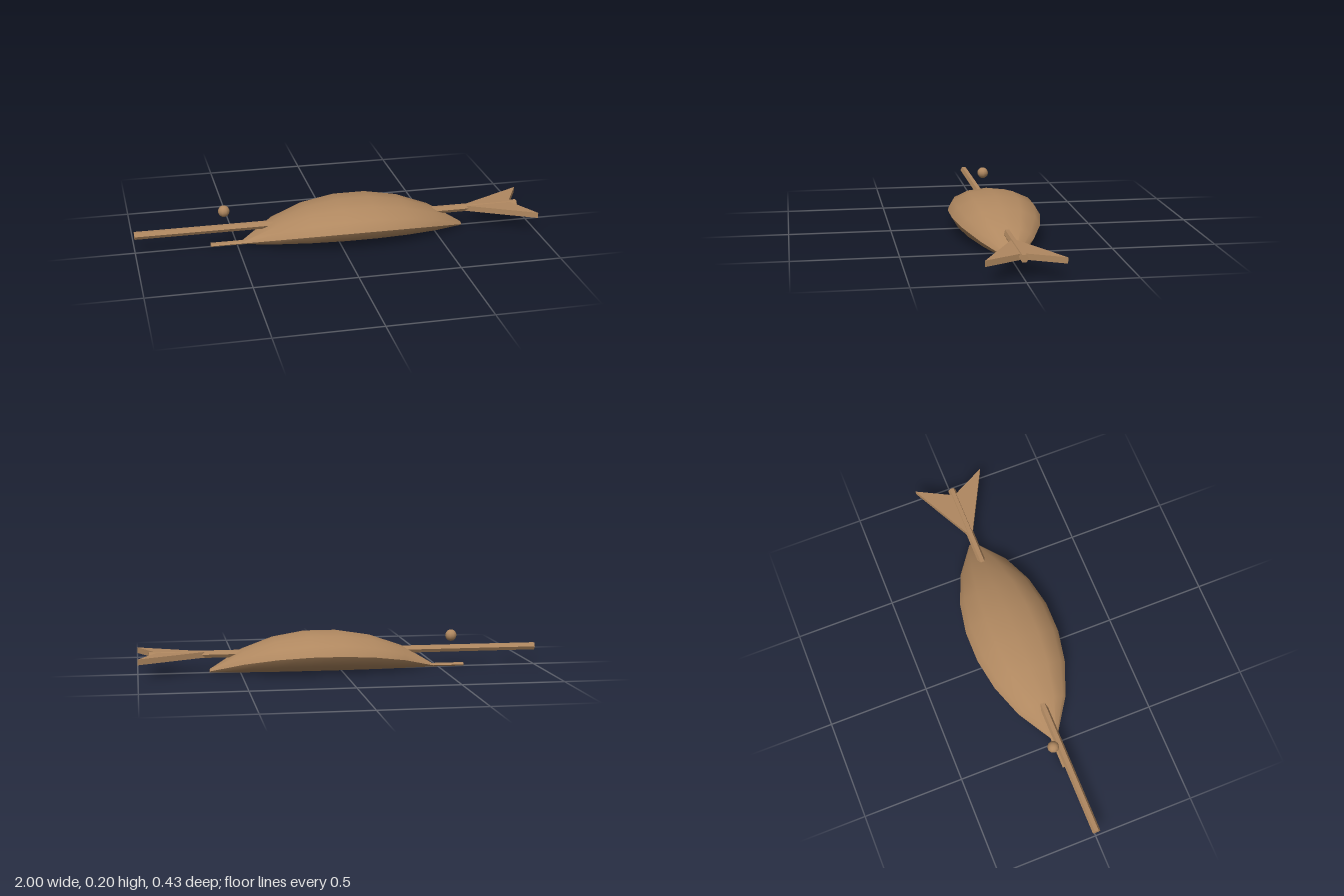
import * as THREE from 'three';
import { toCreasedNormals } from 'three/addons/utils/BufferGeometryUtils.js';

const SIDES = 12;

// Lofts elliptical rings along x, all resting on the ground, with capped ends.
function loftBody(startX, step, halfWidths, heightRatio) {
  const positions = [], index = [];
  halfWidths.forEach((rz, i) => {
    const ry = rz * heightRatio;
    for (let j = 0; j < SIDES; j++) {
      const a = (j / SIDES) * Math.PI * 2;
      positions.push(startX + i * step, ry + ry * Math.cos(a), rz * Math.sin(a));
    }
  });
  const last = halfWidths.length - 1;
  for (let j = 0; j < SIDES; j++) {
    const k = (j + 1) % SIDES;
    for (let i = 0; i < last; i++) {
      const a = i * SIDES, b = a + SIDES;
      index.push(a + j, a + k, b + j, a + k, b + k, b + j);
    }
    if (j > 0 && k > 0) {
      const e = last * SIDES;
      index.push(0, k, j, e, e + j, e + k);
    }
  }
  const geometry = new THREE.BufferGeometry();
  geometry.setAttribute('position', new THREE.Float32BufferAttribute(positions, 3));
  geometry.setIndex(index);
  return toCreasedNormals(geometry, 0.8);
}

export function createModel() {
  const group = new THREE.Group();
  const tan = new THREE.MeshStandardMaterial({ color: 0xb08860 });
  tan.name = 'warm tan';

  const add = (name, geometry, x = 0, y = 0, z = 0) => {
    const mesh = new THREE.Mesh(geometry, tan);
    mesh.name = name;
    mesh.position.set(x, y, z);
    group.add(mesh);
    return mesh;
  };

  // Fish body with a thin snout and flat belly line
  const halfWidths = [0.019, 0.019, 0.126, 0.188, 0.217, 0.217, 0.188, 0.126, 0.019];
  add('body', loftBody(-0.63, 0.16, halfWidths, 0.45));

  // Hexagonal skewer running through the body
  const skewer = new THREE.CylinderGeometry(0.0195, 0.0195, 1.945, 6);
  skewer.rotateY(Math.PI / 2);
  skewer.rotateZ(Math.PI / 2);
  skewer.rotateX(Math.PI / 2);
  add('skewer', toCreasedNormals(skewer, 0.5), -0.0275, 0.092, 0);

  // Forked tail, a flat plate in the horizontal plane
  const outline = [[0.65, 0], [1, -0.18], [0.905, 0], [1, 0.18]];
  const shape = new THREE.Shape(outline.map(([x, z]) => new THREE.Vector2(x, z)));
  const tail = new THREE.ExtrudeGeometry(shape, { depth: 0.028, bevelEnabled: false });
  tail.rotateX(-Math.PI / 2);
  add('tail', tail, 0, 0.077, 0);

  // Eye bead beside the snout
  add('eye', new THREE.SphereGeometry(0.029, 10, 8), -0.555, 0.164, -0.043);

  return group;
}
